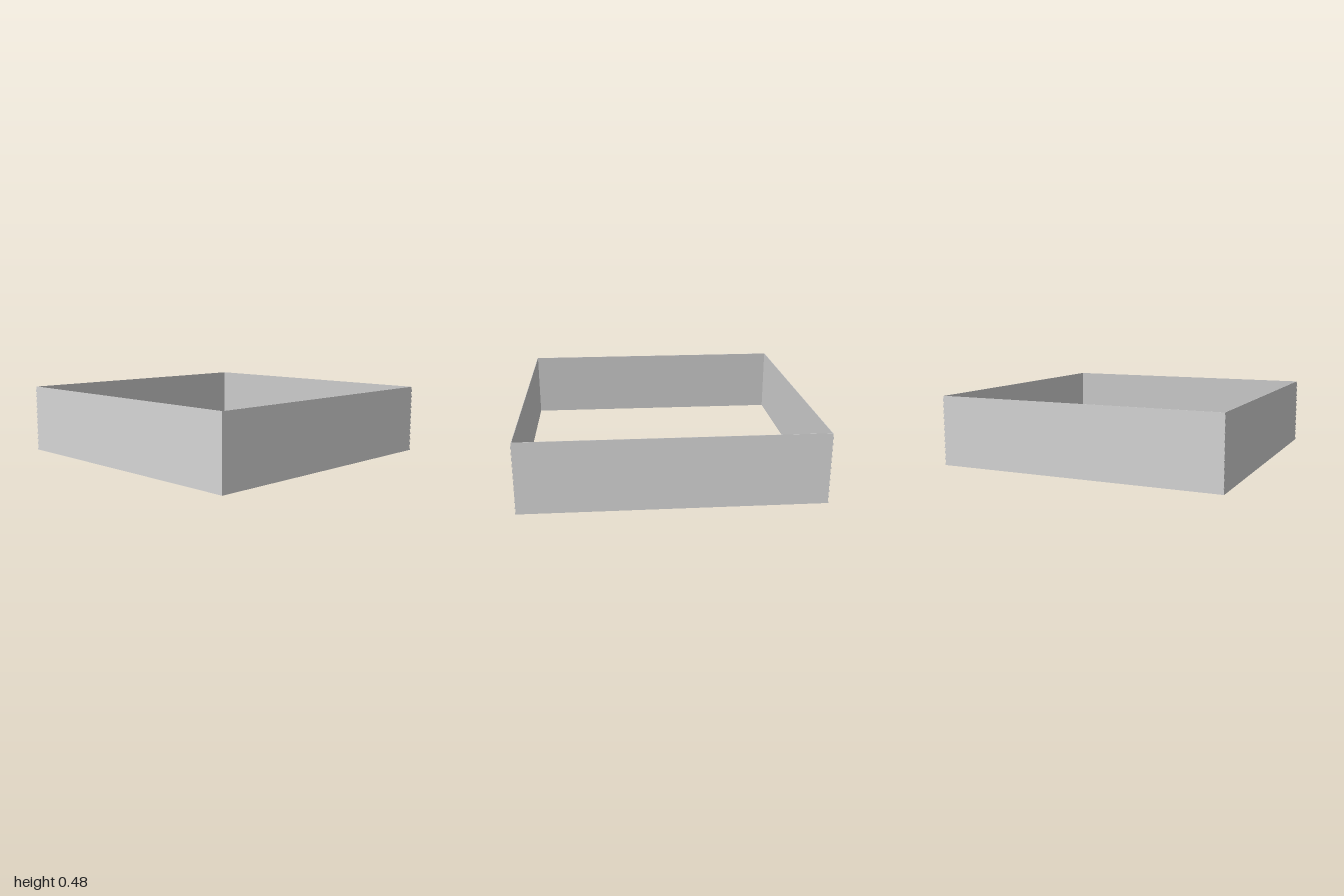
import * as THREE from 'three';

const HEIGHT = 0.48;
const BOARDS = 12;
const OUTER = 1; // lower lip of each board
const TUCKED = 0.994; // upper edge, tucked under the board above
const INNER = 0.991; // flat inside face

export function createModel() {
  const group = new THREE.Group();
  group.name = 'squareFrame';
  const material = new THREE.MeshStandardMaterial({ color: 0xcccccc, flatShading: true });

  // Wall section: flat inside, overlapping sloped boards outside
  const profile = [];
  const add = (halfWidth, y) => profile.push(new THREE.Vector2(halfWidth * Math.SQRT2, y));
  const pitch = HEIGHT / BOARDS;
  add(INNER, 0);
  for (let i = 0; i < BOARDS; i++) {
    add(OUTER, i * pitch);
    add(TUCKED, (i + 1) * pitch);
  }
  add(INNER, HEIGHT);
  add(INNER, 0);

  // Four-sided sweep gives mitred corners
  const geometry = new THREE.LatheGeometry(profile, 4, Math.PI / 4).toNonIndexed();
  geometry.computeVertexNormals();
  const walls = new THREE.Mesh(geometry, material);
  walls.name = 'clapboardWalls';
  group.add(walls);
  return group;
}
